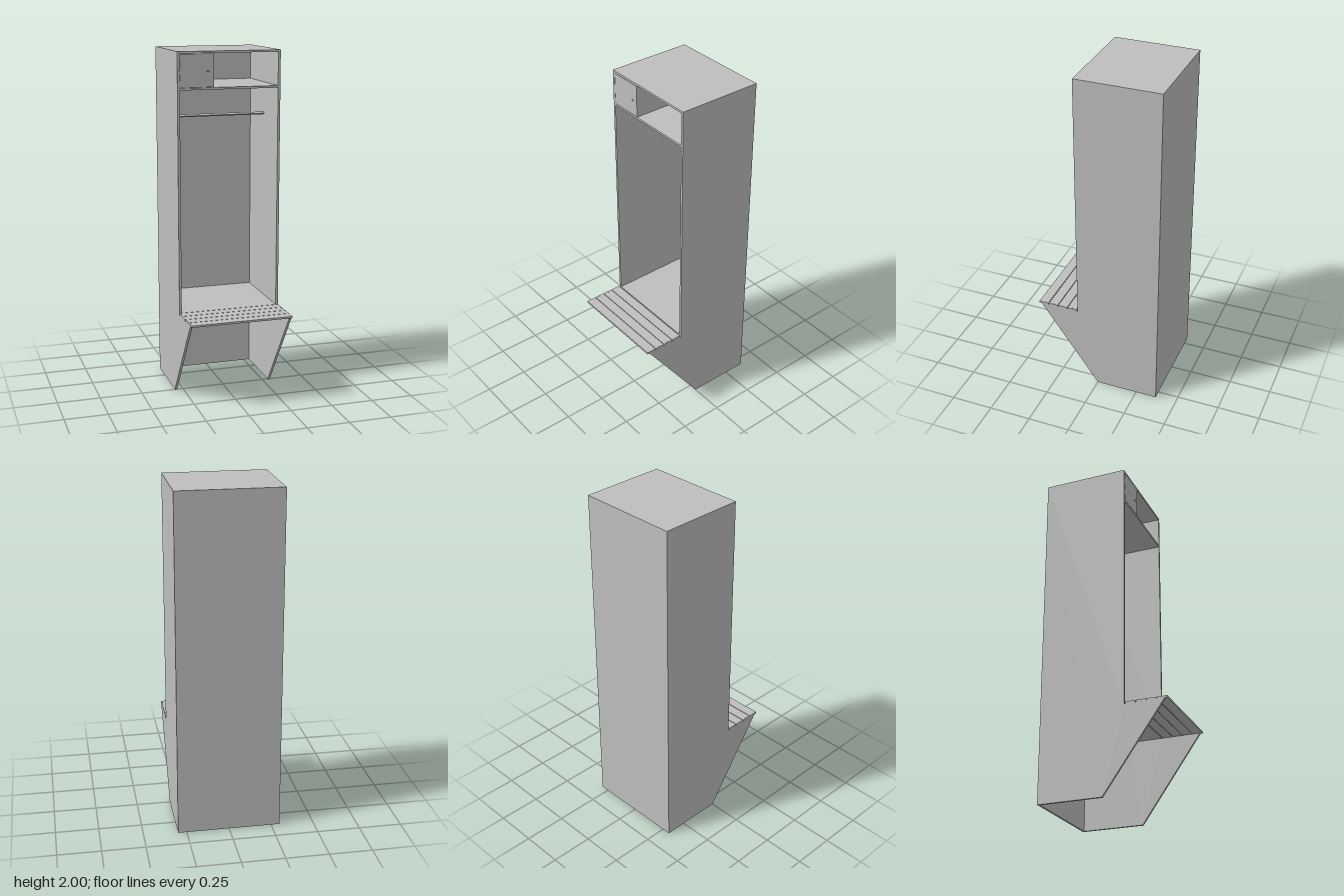
import * as THREE from 'three';

export function createModel() {
  const group = new THREE.Group();
  const grey = new THREE.MeshStandardMaterial({ color: 0xbebebe });
  grey.name = 'paintedMetalGrey';

  const add = (name, geometry, x = 0, y = 0, z = 0) => {
    const mesh = new THREE.Mesh(geometry, grey);
    mesh.name = name;
    mesh.position.set(x, y, z);
    group.add(mesh);
    return mesh;
  };
  // Box given by its minimum and maximum corners
  const box = (name, [x0, y0, z0], [x1, y1, z1]) =>
    add(name, new THREE.BoxGeometry(x1 - x0, y1 - y0, z1 - z0),
      (x0 + x1) / 2, (y0 + y1) / 2, (z0 + z1) / 2);

  const W = 0.3, T = 0.014, IN = W - T, BACK = -0.375, FRONT = 0.125;

  // Side panels, with the sloping bench bracket in one piece
  const outline = [[BACK, 0], [0, 0], [0.357, 0.503], [FRONT, 0.503], [FRONT, 2], [BACK, 2]];
  const shape = new THREE.Shape(outline.map(([z, y]) => new THREE.Vector2(-z, y)));
  const sideGeometry = new THREE.ExtrudeGeometry(shape, { depth: T, bevelEnabled: false });
  sideGeometry.rotateY(Math.PI / 2);
  add('leftSidePanel', sideGeometry, IN);
  add('rightSidePanel', sideGeometry, -W);

  // Carcass
  box('backPanel', [-IN, 0, BACK], [IN, 2, BACK + 0.012]);
  box('topPanel', [-IN, 1.988, BACK + 0.012], [IN, 2, FRONT]);
  box('upperShelf', [-IN, 1.788, BACK + 0.012], [IN, 1.8, FRONT]);
  box('lockerFloor', [-IN, 0.503, BACK + 0.012], [IN, 0.513, FRONT]);

  // Oval hanging rail
  const rail = new THREE.CylinderGeometry(0.008, 0.008, 2 * IN, 20);
  rail.rotateZ(Math.PI / 2);
  rail.scale(1, 1, 1.8);
  add('hangingRail', rail, 0, 1.617, -0.125);

  // Small lockable compartment
  box('compartmentPartition', [-0.102, 1.8, BACK + 0.012], [-0.09, 1.988, FRONT - 0.008]);
  box('compartmentDoor', [-IN + 0.002, 1.802, FRONT - 0.008], [-0.09, 1.986, FRONT]);
  for (const y of [1.82, 1.894, 1.965]) {
    add('doorHinge', new THREE.CylinderGeometry(0.003, 0.003, 0.035, 10), -IN, y, FRONT - 0.002);
  }
  const knob = new THREE.SphereGeometry(1, 16, 10);
  knob.scale(0.008, 0.004, 0.004);
  add('doorLatch', knob, -0.125, 1.89, FRONT);

  // Bench slats with a screw at each end
  const screw = new THREE.CylinderGeometry(0.0035, 0.0035, 0.001, 12);
  for (let i = 0; i < 4; i++) {
    const z = 0.132 + i * 0.0607;
    box('benchSlat', [-W, 0.503, z], [W, 0.514, z + 0.057]);
    for (const s of [-1, 1]) add('slatScrew', screw, s * 0.293, 0.5143, z + 0.029);
  }
  return group;
}
